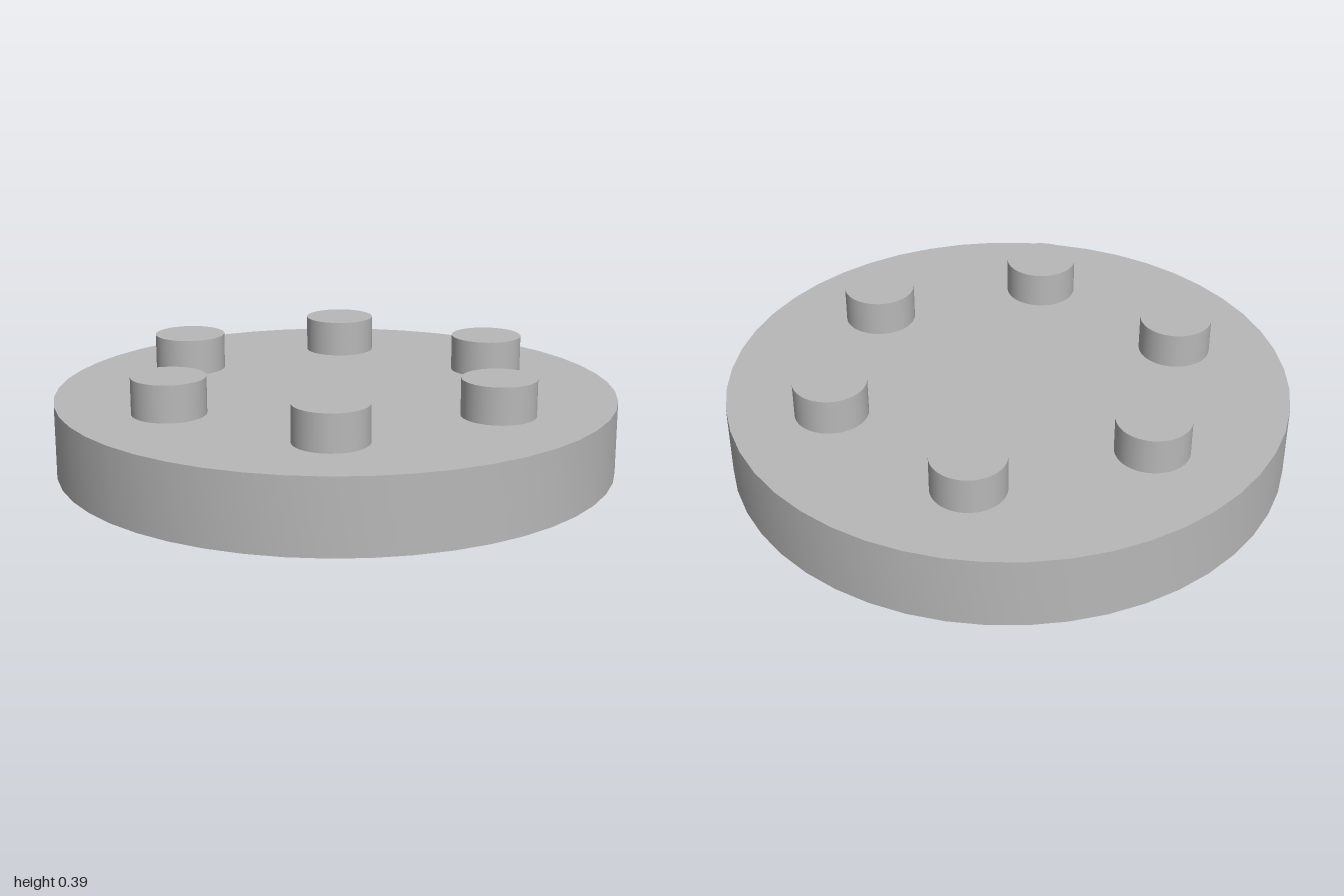
import * as THREE from 'three';
import { toCreasedNormals } from 'three/addons/utils/BufferGeometryUtils.js';

const SEGMENTS = 48;
const BASE_HEIGHT = 0.26;
const CEILING = 0.135; // depth of the hollow underneath
const INNER_RADIUS = 0.923;
const STUD_RADIUS = 0.129;
const STUD_HEIGHT = 0.13;
const STUD_RING = 0.645;

export function createModel() {
  const model = new THREE.Group();
  model.name = 'studdedDisc';

  const grey = new THREE.MeshStandardMaterial({ color: 0xb8b8b8 });
  grey.name = 'grey';

  // Disc with a hollow underside, turned from one closed profile
  const profile = [
    [0, CEILING], [INNER_RADIUS, CEILING], [INNER_RADIUS, 0],
    [1, 0], [1, BASE_HEIGHT], [0, BASE_HEIGHT],
  ].map(([r, y]) => new THREE.Vector2(r, y));
  const base = new THREE.Mesh(
    toCreasedNormals(new THREE.LatheGeometry(profile, SEGMENTS), 0.5), grey);
  base.name = 'hollowDisc';
  model.add(base);

  // Six studs evenly spaced in a ring
  const studGeometry = new THREE.CylinderGeometry(STUD_RADIUS, STUD_RADIUS, STUD_HEIGHT, SEGMENTS);
  for (let i = 0; i < 6; i++) {
    const angle = (i * Math.PI) / 3;
    const stud = new THREE.Mesh(studGeometry, grey);
    stud.name = `stud${i + 1}`;
    stud.position.set(
      STUD_RING * Math.cos(angle), BASE_HEIGHT + STUD_HEIGHT / 2, STUD_RING * Math.sin(angle));
    model.add(stud);
  }

  return model;
}
